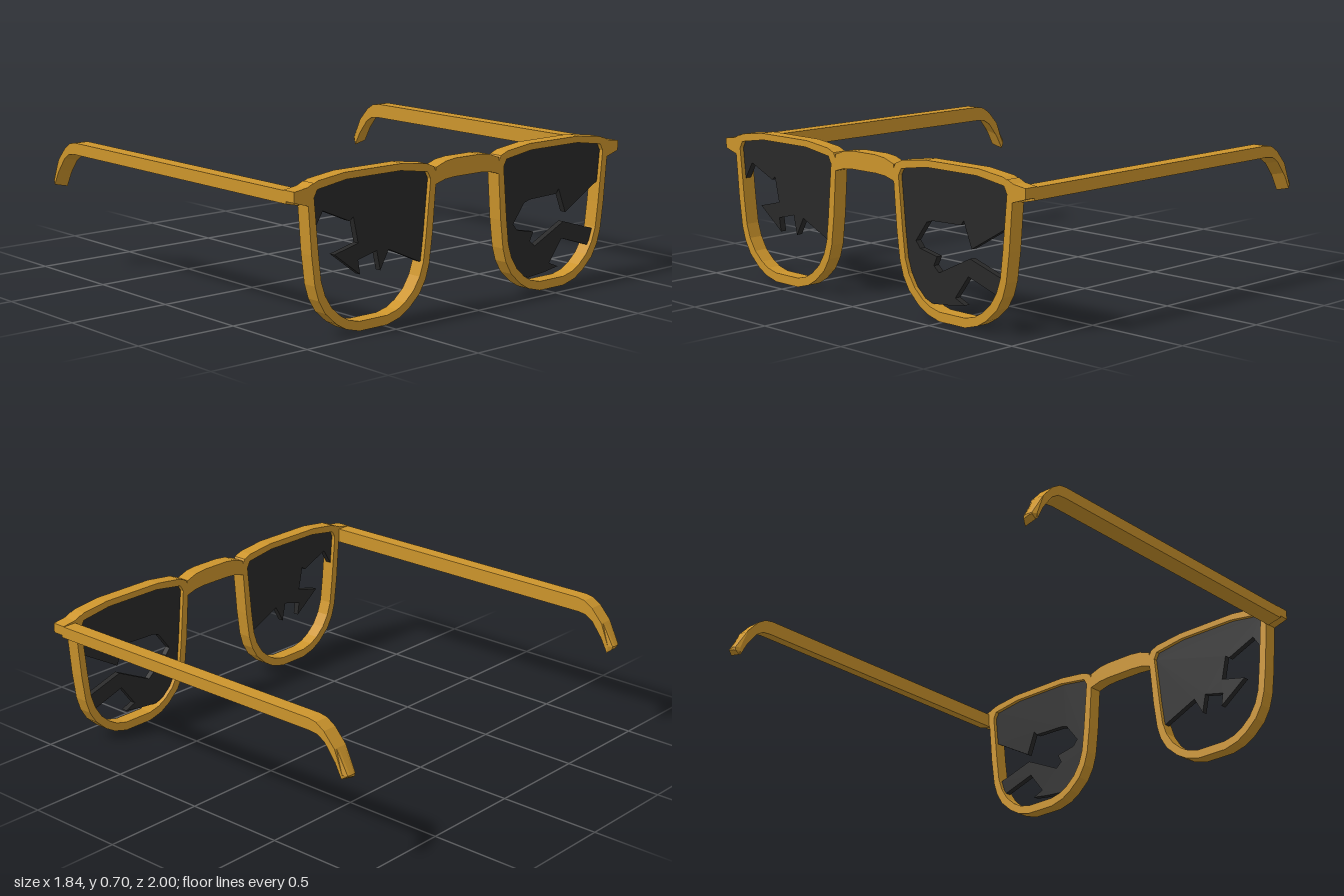
import * as THREE from 'three';

const frameMat = new THREE.MeshStandardMaterial({ color: 0xcd952c, flatShading: true });
const lensMat = new THREE.MeshStandardMaterial({ color: 0x292929, flatShading: true });

const toPoints = (list) => list.map(([u, y]) => new THREE.Vector2(u, y));
const flip = (list) => list.map(([u, y]) => [-u, y]).reverse();

// Closed outline, symmetric about u = centre, from its right half (top to bottom)
const symmetric = (half, centre) => [...half, ...flip(half)].map(([u, y]) => [u + centre, y]);

// Plate facing +x: outline is (u = -z, y), spanning x0 to x0 + depth
function plate(name, outline, x0, depth, material, hole) {
  const shape = new THREE.Shape(toPoints(outline));
  // The hole runs the opposite way round, so its walls face inwards
  if (hole) shape.holes.push(new THREE.Path(toPoints(hole).reverse()));
  const geo = new THREE.ExtrudeGeometry(shape, { depth, bevelEnabled: false });
  geo.rotateY(Math.PI / 2).translate(x0, 0, 0);
  const mesh = new THREE.Mesh(geo, material);
  mesh.name = name;
  return mesh;
}

const BACK = 0.85, DEPTH = 0.07, EYE = 0.56;

const rimOuter = [
  [0.165, 0.703], [0.31, 0.685], [0.352, 0.668], [0.367, 0.64], [0.365, 0.59], [0.347, 0.37],
  [0.329, 0.235], [0.308, 0.168], [0.272, 0.108], [0.21, 0.052], [0.155, 0.02], [0.08, 0.0],
];
const rimInner = [
  [0.155, 0.672], [0.315, 0.648], [0.333, 0.615], [0.309, 0.37],
  [0.294, 0.25], [0.272, 0.185], [0.235, 0.127], [0.185, 0.083], [0.14, 0.058], [0.08, 0.043],
];

// Broken glass outlines
const lensLeft = [
  [-0.887, 0.455], [-0.9, 0.6], [-0.88, 0.65], [-0.715, 0.676], [-0.4, 0.676], [-0.24, 0.652],
  [-0.222, 0.617], [-0.262, 0.243], [-0.455, 0.329], [-0.503, 0.243], [-0.524, 0.334],
  [-0.631, 0.308], [-0.62, 0.243], [-0.765, 0.35], [-0.631, 0.382], [-0.658, 0.5],
  [-0.679, 0.484], [-0.829, 0.548],
];
const lensRight = [
  [0.222, 0.617], [0.241, 0.652], [0.404, 0.676], [0.717, 0.676], [0.877, 0.652], [0.896, 0.617],
  [0.88, 0.468], [0.663, 0.345], [0.615, 0.463], [0.599, 0.441], [0.422, 0.436], [0.385, 0.425],
  [0.315, 0.334], [0.342, 0.302], [0.449, 0.281], [0.428, 0.238], [0.46, 0.211], [0.652, 0.302],
  [0.855, 0.241], [0.828, 0.163], [0.642, 0.222], [0.561, 0.115], [0.62, 0.091], [0.53, 0.077],
  [0.42, 0.067], [0.37, 0.085], [0.32, 0.13], [0.285, 0.185], [0.258, 0.27],
];

const bridgeHalf = [
  [0.075, 0.69], [0.135, 0.683], [0.195, 0.662], [0.2, 0.585], [0.14, 0.602], [0.08, 0.607],
];
const endPiece = [[0.895, 0.6], [0.925, 0.583], [1, 0.605], [1, 0.652], [0.965, 0.657], [0.93, 0.662], [0.895, 0.678]];

// Side profile (x, y) of an arm with its drooping ear hook
const armTop = [
  [0.87, 0.65], [-0.707, 0.65], [-0.75, 0.643], [-0.795, 0.615], [-0.855, 0.55], [-0.923, 0.443],
];
const armBottom = [
  [-0.921, 0.425], [-0.893, 0.408], [-0.85, 0.488], [-0.8, 0.548], [-0.76, 0.573], [-0.717, 0.578], [0.865, 0.578],
];

function arm(side) {
  const width = 0.072;
  const geo = new THREE.ExtrudeGeometry(new THREE.Shape(toPoints([...armTop, ...armBottom])), {
    depth: width, steps: 6, bevelEnabled: false,
  });
  const p = geo.attributes.position;
  for (let i = 0; i < p.count; i++) {
    const x = p.getX(i);
    const t = (p.getZ(i) / width) * 2 - 1;
    // The underside slopes up towards the outer face
    if (armBottom.some(([bx]) => Math.abs(bx - x) < 1e-4)) p.setY(i, p.getY(i) + 0.008 * (1 + side * t));
    // The tip is rounded across its width
    if (x < -0.91) p.setX(i, x + 0.025 * t ** 4);
  }
  geo.computeVertexNormals();
  geo.translate(0, 0, side > 0 ? 1 - width : -1);
  const mesh = new THREE.Mesh(geo, frameMat);
  mesh.name = side > 0 ? 'armPositiveZ' : 'armNegativeZ';
  return mesh;
}

export function createModel() {
  const model = new THREE.Group();
  model.name = 'brokenGlasses';

  // Rims, hinge end pieces and arms on both sides
  for (const s of [-1, 1]) {
    const tag = s < 0 ? 'PositiveZ' : 'NegativeZ';
    model.add(
      plate('rim' + tag, symmetric(rimOuter, s * EYE), BACK, DEPTH, frameMat, symmetric(rimInner, s * EYE)),
      plate('endPiece' + tag, s > 0 ? endPiece : flip(endPiece), BACK, DEPTH, frameMat),
      arm(-s),
    );
  }

  // Nose bridge
  model.add(plate('bridge', symmetric(bridgeHalf, 0), BACK, DEPTH, frameMat));

  // Shattered lenses, set inside the rims
  model.add(plate('lensPositiveZ', lensLeft, 0.87, 0.03, lensMat));
  model.add(plate('lensNegativeZ', lensRight, 0.87, 0.03, lensMat));
  return model;
}
